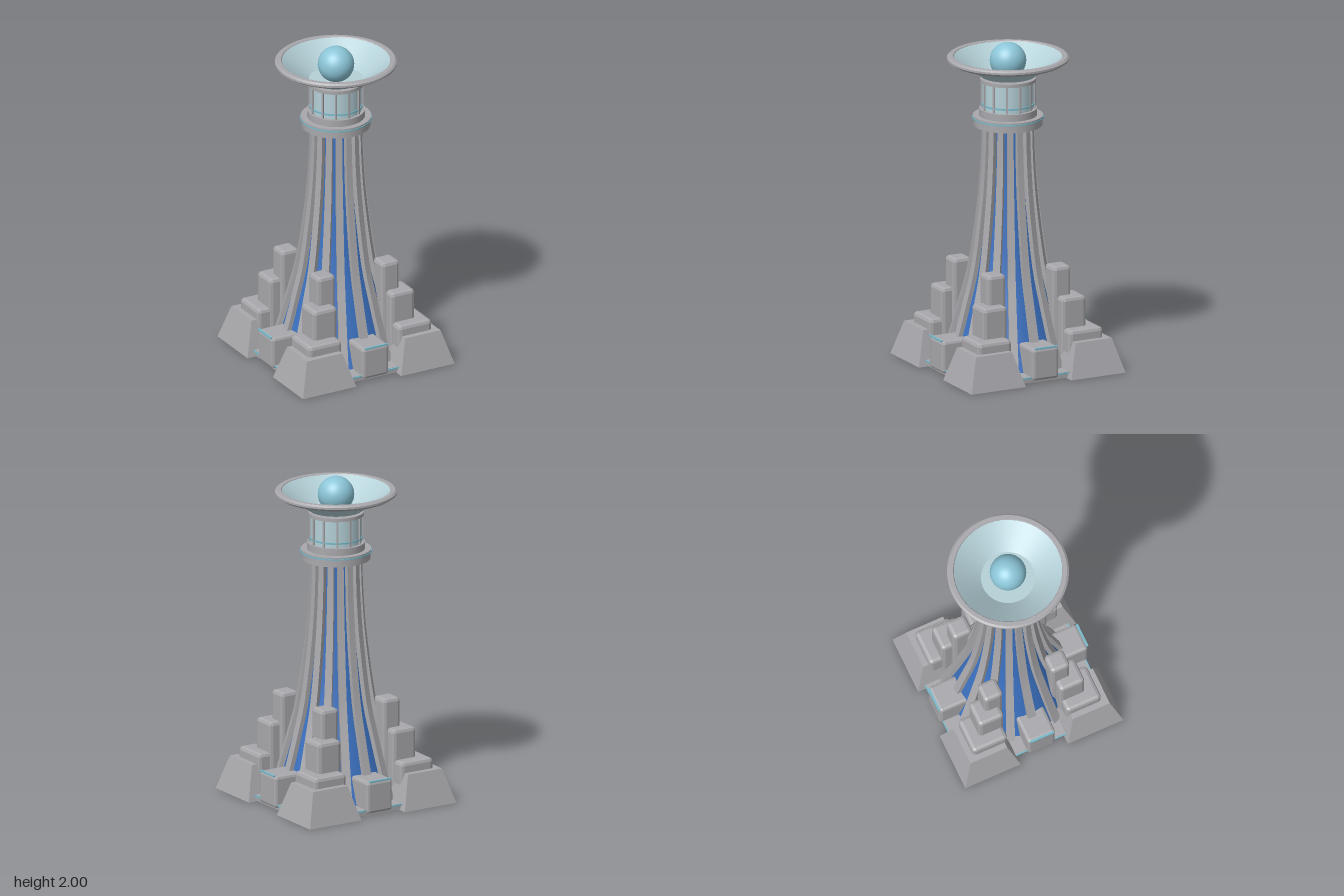
import * as THREE from 'three';
import { toCreasedNormals } from 'three/addons/utils/BufferGeometryUtils.js';
import { RoundedBoxGeometry } from 'three/addons/geometries/RoundedBoxGeometry.js';

const material = (name, color, extra = {}) => {
  const m = new THREE.MeshStandardMaterial({ color, ...extra });
  m.name = name;
  return m;
};

export function createModel() {
  const stone = material('stone grey', 0xa9a9ad);
  const blue = material('deep blue', 0x3a70bf);
  const cyan = material('bright cyan', 0x8cc6d8);
  const trim = material('cyan trim', 0x78b8c8);
  const glass = material('pale glass', 0xb4d0d7, { side: THREE.DoubleSide });
  const root = new THREE.Group();

  const add = (parent, name, geometry, mat, x = 0, y = 0, z = 0) => {
    const mesh = new THREE.Mesh(geometry, mat);
    mesh.name = name;
    mesh.position.set(x, y, z);
    parent.add(mesh);
    return mesh;
  };
  const lathe = (name, points, mat, segments = 48) => add(root, name, toCreasedNormals(
    new THREE.LatheGeometry(points.map(([r, y]) => new THREE.Vector2(r, y)), segments), 0.5), mat);
  const ring = (name, r, y0, y1, mat) =>
    add(root, name, new THREE.CylinderGeometry(r, r, y1 - y0, 48), mat, 0, (y0 + y1) / 2, 0);
  const chamferBox = (w, h, d, bevel) => {
    const g = new RoundedBoxGeometry(w, h, d, 1, bevel);
    g.computeVertexNormals();
    return g;
  };

  // Flared outline of the tower, outer radius of the ribs by height
  const outline = new THREE.SplineCurve([
    [0.42, 0], [0.355, 0.2], [0.298, 0.4], [0.237, 0.64],
    [0.187, 1.0], [0.165, 1.27], [0.157, 1.5],
  ].map(([r, y]) => new THREE.Vector2(r, y)));
  const steps = 20;
  const profile = outline.getPoints(steps);

  // Blue core
  lathe('towerCore', profile.map((p) => [p.x - 0.028, Math.max(p.y, 0.004)]), blue);

  // Sixteen curved ribs, each a box bent along the outline
  const ribGeometry = new THREE.BoxGeometry(1, 1, 1, 1, steps, 1);
  const pos = ribGeometry.attributes.position;
  for (let i = 0; i < pos.count; i++) {
    const t = pos.getY(i) + 0.5;
    const p = profile[Math.round(t * steps)];
    const width = THREE.MathUtils.lerp(0.055, 0.036, t);
    pos.setXYZ(i, pos.getX(i) * width, p.y, p.x + (pos.getZ(i) > 0 ? 0 : -0.06));
  }
  ribGeometry.computeVertexNormals();
  for (let i = 0; i < 16; i++) {
    add(root, 'towerRib', ribGeometry, stone).rotation.y = (i * Math.PI) / 8;
  }

  // Floor and blue underside
  add(root, 'floor', new THREE.BoxGeometry(0.8, 0.02, 0.8), stone, 0, 0.014, 0);
  add(root, 'undersidePlate', new THREE.BoxGeometry(0.68, 0.004, 0.68), blue, 0, 0.002, 0);

  // Sloped corner block: a four-sided frustum
  const frustum = new THREE.CylinderGeometry(0.122 * Math.SQRT2, 0.184 * Math.SQRT2, 0.21, 4, 1)
    .rotateY(Math.PI / 4).toNonIndexed();
  frustum.computeVertexNormals();

  // Stepped corner boxes: inner edge, outer edge, top
  const tiers = [[0.195, 0.425, 0.275], [0.185, 0.35, 0.463], [0.16, 0.283, 0.643]];

  for (let i = 0; i < 4; i++) {
    const corner = new THREE.Group();
    corner.name = 'cornerButtress';
    corner.rotation.y = (i * Math.PI) / 2;
    root.add(corner);
    add(corner, 'slopedBlock', frustum, stone, 0.339, 0.105, 0.339);
    for (const [inner, outer, top] of tiers) {
      const c = (inner + outer) / 2;
      const h = top - 0.05;
      add(corner, 'steppedBox', chamferBox(outer - inner, h, outer - inner, 0.022),
        stone, c, top - h / 2, c);
    }

    // Porch between the corners
    const porch = new THREE.Group();
    porch.name = 'porch';
    porch.rotation.y = (i * Math.PI) / 2;
    root.add(porch);
    add(porch, 'porchStep', new THREE.BoxGeometry(0.33, 0.036, 0.2), stone, 0, 0.022, 0.367);
    add(porch, 'stepTrim', new THREE.BoxGeometry(0.33, 0.009, 0.014), trim, 0, 0.034, 0.468);
    add(porch, 'porchBox', chamferBox(0.18, 0.2, 0.2, 0.018), stone, 0, 0.115, 0.39);
    add(porch, 'porchTrim', new THREE.BoxGeometry(0.154, 0.009, 0.014), trim, 0, 0.217, 0.49);
  }

  // Collar
  ring('collarLower', 0.207, 1.49, 1.535, stone);
  ring('collarTrim', 0.216, 1.535, 1.543, trim);
  ring('collarUpper', 0.212, 1.543, 1.552, stone);
  ring('drumBase', 0.175, 1.552, 1.595, stone);

  // Glazed drum with mullions
  ring('drumGlass', 0.155, 1.595, 1.765, glass);
  ring('drumTrim', 0.161, 1.618, 1.628, trim);
  ring('drumCap', 0.169, 1.762, 1.783, stone);
  const mullion = new THREE.BoxGeometry(0.012, 0.17, 0.014).translate(0, 1.68, 0.157);
  for (let i = 0; i < 12; i++) {
    add(root, 'drumMullion', mullion, stone).rotation.y = (i * Math.PI) / 6;
  }

  // Dish, rim and sphere
  lathe('dish', [[0, 1.795], [0.163, 1.795], [0.331, 1.918]], glass);
  lathe('dishRim', [[0.3, 1.88], [0.345, 1.883], [0.367, 1.898], [0.367, 1.91],
    [0.355, 1.92], [0.33, 1.92], [0.3, 1.88]], stone, 64);
  add(root, 'sphere', new THREE.SphereGeometry(0.11, 40, 24), cyan, 0, 1.89, 0);

  return root;
}
